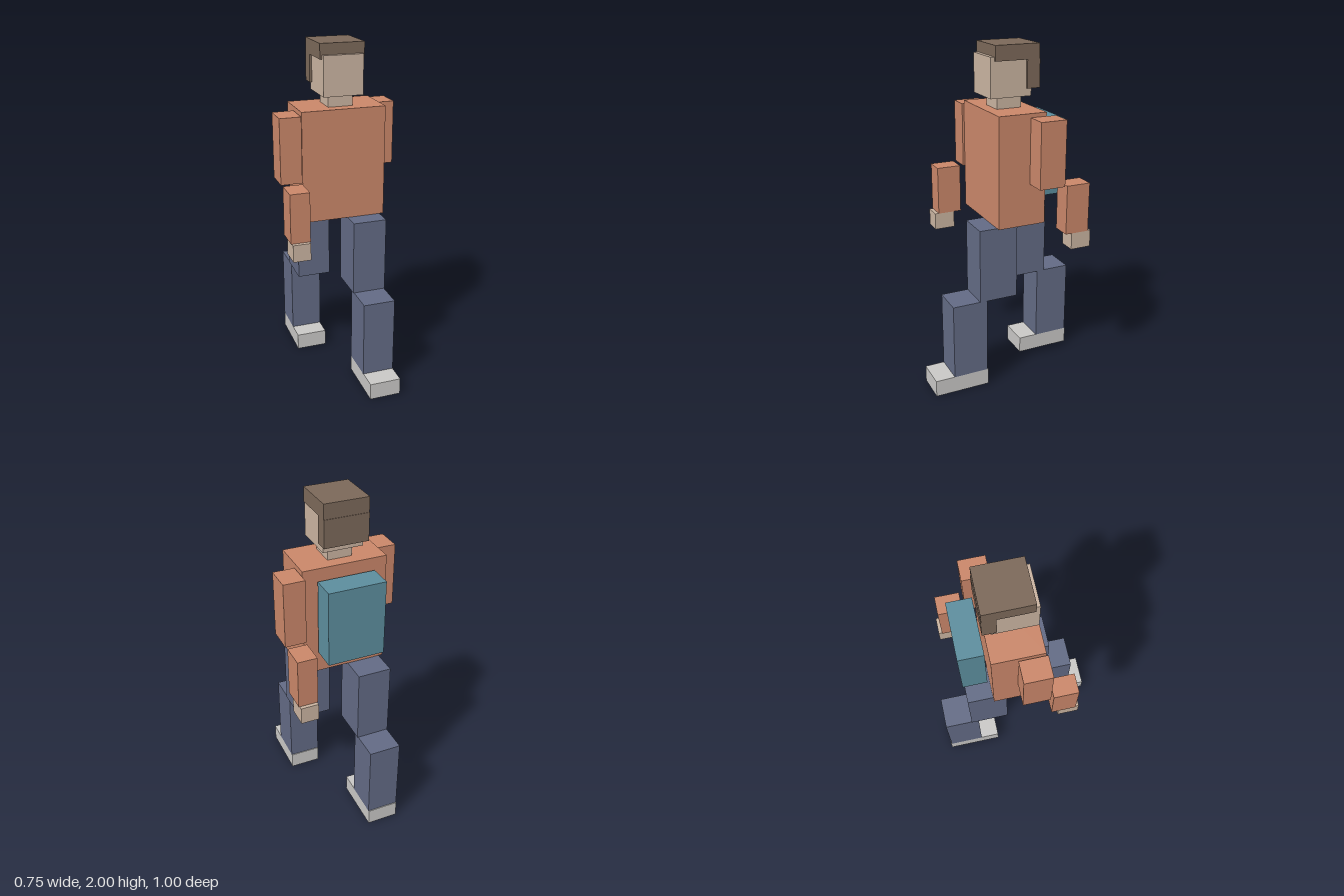
import * as THREE from 'three';

const material = (name, color) => {
  const m = new THREE.MeshStandardMaterial({ color });
  m.name = name;
  return m;
};

export function createModel() {
  const shirt = material('shirt', 0xc98669);
  const skin = material('skin', 0xc9b3a0);
  const hair = material('hair', 0x7b6859);
  const trousers = material('trousers', 0x626a84);
  const pack = material('pack', 0x5c8d9d);
  const shoes = material('shoes', 0xc8c7c5);

  const figure = new THREE.Group();
  figure.name = 'walkingFigure';

  // Box given by its [min, max] extent on each axis
  const box = (parent, name, mat, x, y, z) => {
    const mid = (r) => (r[0] + r[1]) / 2;
    const geometry = new THREE.BoxGeometry(x[1] - x[0], y[1] - y[0], z[1] - z[0]);
    const mesh = new THREE.Mesh(geometry, mat);
    mesh.name = name;
    mesh.position.set(mid(x), mid(y), mid(z));
    parent.add(mesh);
  };
  const group = (name) => {
    const g = new THREE.Group();
    g.name = name;
    figure.add(g);
    return g;
  };

  // Body and backpack
  box(figure, 'torso', shirt, [-0.245, 0.245], [1.0, 1.644], [-0.177, 0.11]);
  box(figure, 'backpack', pack, [-0.166, 0.166], [1.136, 1.578], [-0.338, -0.195]);

  // Head with a hair cap and a longer back piece
  const head = group('head');
  box(head, 'neck', skin, [-0.071, 0.071], [1.644, 1.713], [-0.105, 0.043]);
  box(head, 'face', skin, [-0.115, 0.115], [1.713, 1.938], [-0.147, 0.1]);
  box(head, 'hairTop', hair, [-0.128, 0.128], [1.915, 2.0], [-0.19, 0.077]);
  box(head, 'hairBack', hair, [-0.128, 0.128], [1.757, 1.915], [-0.193, -0.116]);

  // Limbs in mid stride: x is mirrored, z differs per side
  const limbs = [
    {
      side: 'left', sign: 1,
      upperArm: [-0.233, -0.078], forearm: [-0.395, -0.251], hand: [-0.416, -0.293],
      thigh: [-0.016, 0.216], shin: [0.172, 0.383], shoe: [0.167, 0.5],
    },
    {
      side: 'right', sign: -1,
      upperArm: [-0.036, 0.12], forearm: [0.139, 0.283], hand: [0.305 - 0.123, 0.305],
      thigh: [-0.328, -0.096], shin: [-0.495, -0.283], shoe: [-0.5, -0.167],
    },
  ];
  for (const l of limbs) {
    const span = (a, b) => (l.sign > 0 ? [a, b] : [-b, -a]);

    const arm = group(l.side + 'Arm');
    box(arm, 'upperArm', shirt, span(0.25, 0.373), [1.245, 1.622], l.upperArm);
    box(arm, 'forearm', shirt, span(0.255, 0.368), [0.957, 1.245], l.forearm);
    box(arm, 'hand', skin, span(0.26, 0.362), [0.856, 0.957], l.hand);

    const leg = group(l.side + 'Leg');
    box(leg, 'thigh', trousers, span(0.023, 0.221), [0.558, 1.0], l.thigh);
    box(leg, 'shin', trousers, span(0.028, 0.217), [0.1, 0.558], l.shin);
    box(leg, 'shoe', shoes, span(0.03, 0.216), [0, 0.1], l.shoe);
  }

  return figure;
}
